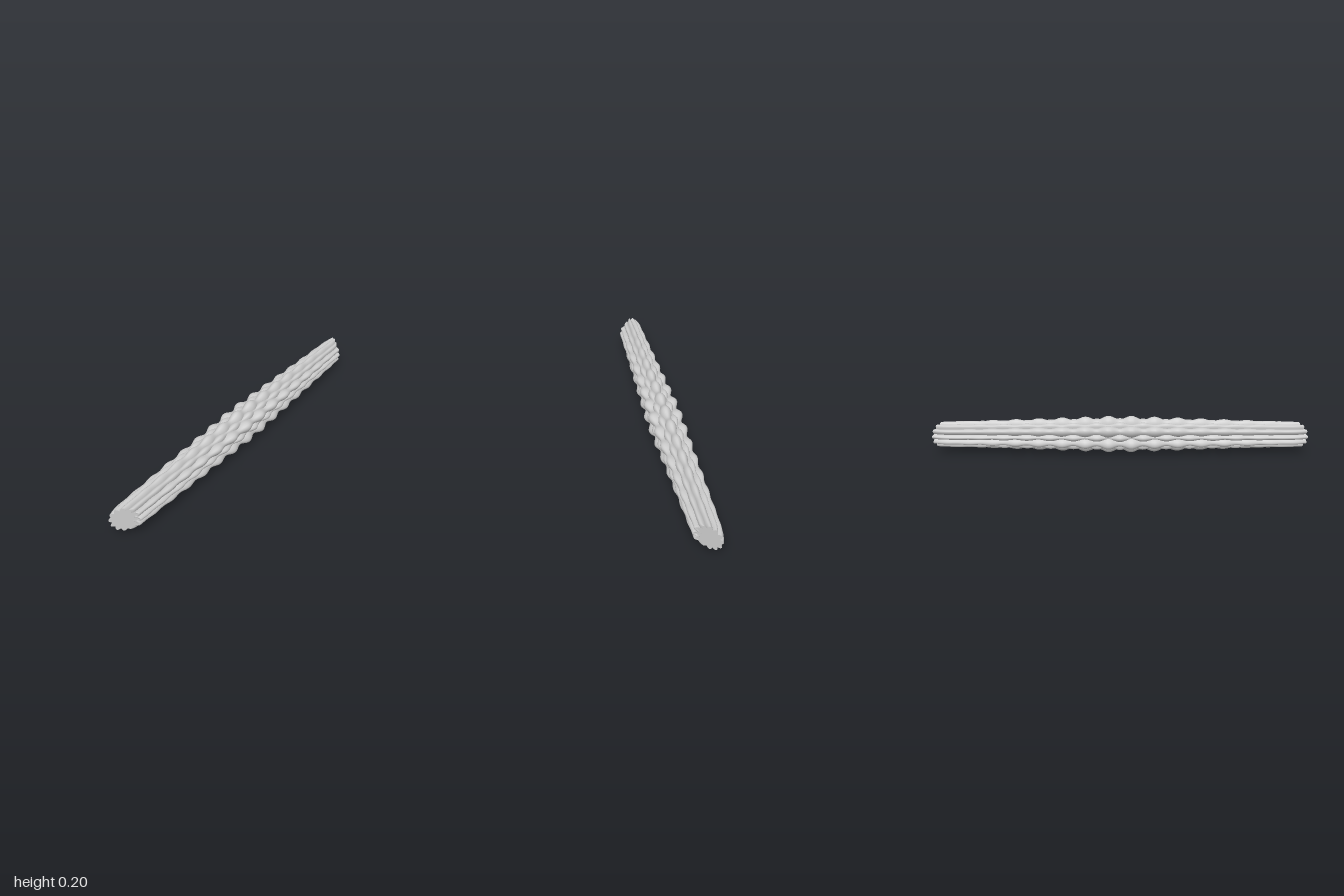
import * as THREE from 'three';

const HALF = 0.955, CENTER_Y = 0.105, RINGS = 144, SIDES = 22, PERIOD = 0.124;

// Outer radius of a rib at x: flat at the ends, beaded towards the middle
function ribRadius(x, major) {
  const swell = Math.max(0, 1 - Math.abs(x) / 0.96);
  const wave = Math.cos((2 * Math.PI * x) / PERIOD);
  return 0.069 + swell * (major ? 0.025 - 0.011 * wave : 0.01 + 0.009 * wave);
}

// One petal-shaped rib running along x, its ends cut on the slant
function ribGeometry(angle, major) {
  const pos = [], index = [];
  const ca = Math.cos(angle), sa = Math.sin(angle);
  const push = (x, radial, side) => {
    const y = radial * sa + side * ca;
    const z = radial * ca - side * sa;
    // turn the last stretch of each end about the upright axis
    const k = Math.max(0, (Math.abs(x) / HALF - 0.95) / 0.05);
    pos.push(x - Math.sign(x) * 0.66 * z * k, CENTER_Y + y, z * (1 - 0.25 * k * k));
  };
  const ring = (x) => {
    const R = ribRadius(x, major);
    const w = 0.016 + (R - 0.069) * 0.5;
    for (let j = 0; j < SIDES; j++) {
      const a = (j / SIDES) * Math.PI * 2;
      push(x, R * (0.5 + 0.5 * Math.cos(a)), w * Math.sin(a));
    }
    return R;
  };
  for (let i = 0; i <= RINGS; i++) ring(-HALF + (2 * HALF * i) / RINGS);
  for (let i = 0; i < RINGS; i++) {
    for (let j = 0; j < SIDES; j++) {
      const a = i * SIDES + j, b = i * SIDES + ((j + 1) % SIDES);
      index.push(a, a + SIDES, b, b, a + SIDES, b + SIDES);
    }
  }
  // flat petal caps
  for (const s of [-1, 1]) {
    const start = pos.length / 3;
    const R = ring(s * HALF);
    push(s * HALF, R / 2, 0);
    for (let j = 0; j < SIDES; j++) {
      const a = start + j, b = start + ((j + 1) % SIDES), c = start + SIDES;
      if (s > 0) index.push(c, b, a);
      else index.push(c, a, b);
    }
  }
  const geo = new THREE.BufferGeometry();
  geo.setAttribute('position', new THREE.Float32BufferAttribute(pos, 3));
  geo.setIndex(index);
  geo.computeVertexNormals();
  return geo;
}

export function createModel() {
  const group = new THREE.Group();
  group.name = 'beadedBar';
  const material = new THREE.MeshStandardMaterial({ color: 0xcccccc, side: THREE.DoubleSide });
  // twelve ribs, larger and smaller ones in turn
  for (let i = 0; i < 12; i++) {
    const major = i % 2 === 1;
    const rib = new THREE.Mesh(ribGeometry((i * Math.PI) / 6, major), material);
    rib.name = major ? 'majorRib' : 'minorRib';
    group.add(rib);
  }
  return group;
}
